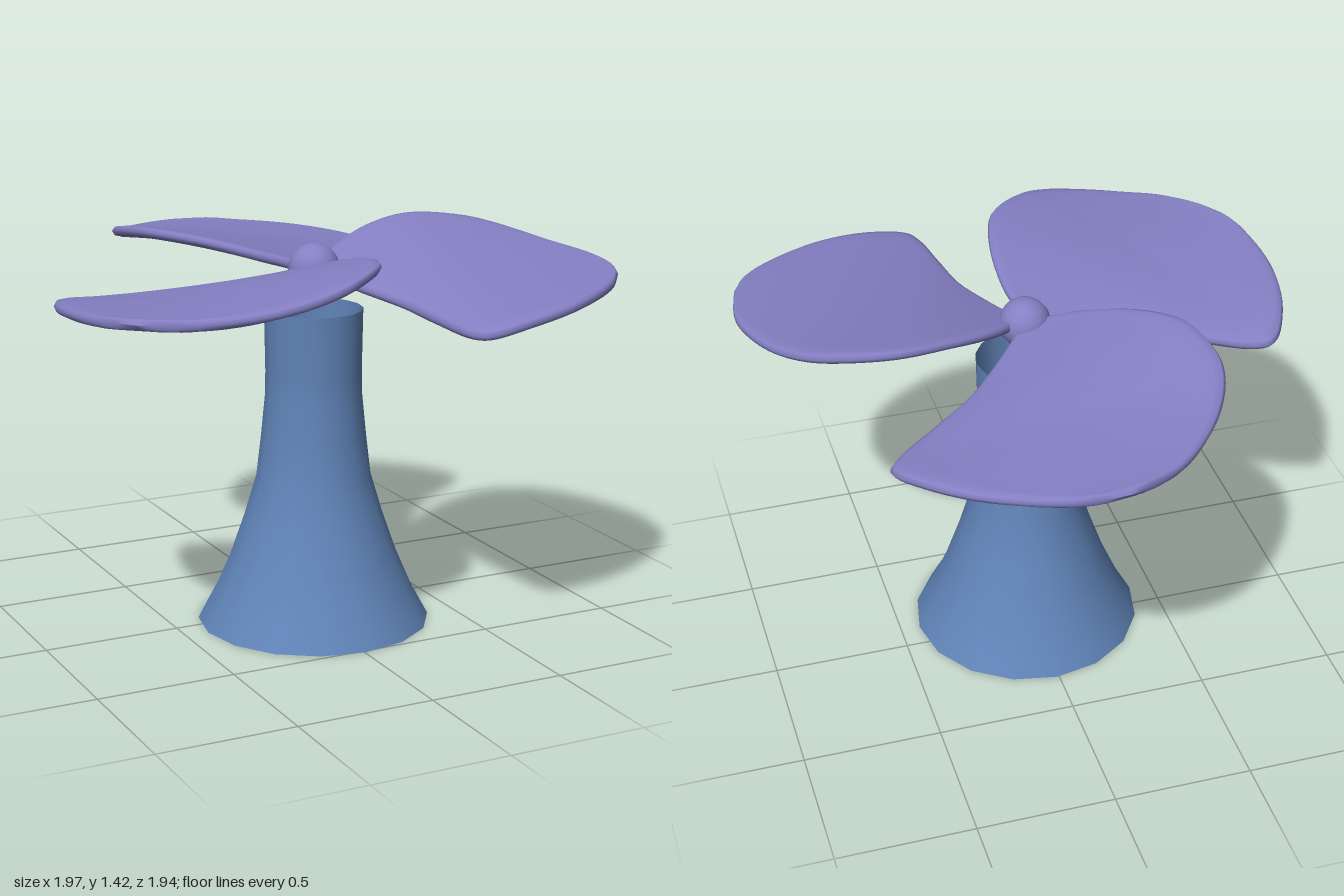
import * as THREE from 'three';

const HUB = new THREE.Vector3(0.007, 1.3, 0.092);
const bladeMat = new THREE.MeshStandardMaterial({ color: 0x8480c4 });
const towerMat = new THREE.MeshStandardMaterial({ color: 0x6084b8, side: THREE.DoubleSide });

const curve = (pts) => new THREE.CatmullRomCurve3(
  pts.map(([x, y, z]) => new THREE.Vector3(x, y, z).sub(HUB)), false, 'centripetal');

// Leading edge runs out to the pointed corner, then round the outer rim
const leading = curve([
  [0.03, 1.29, 0.07], [0.14, 1.262, -0.06], [0.294, 1.235, -0.225], [0.46, 1.215, -0.35],
  [0.61, 1.203, -0.465], [0.642, 1.208, -0.524], [0.567, 1.235, -0.663],
  [0.406, 1.26, -0.82], [0.166, 1.282, -0.945], [0.02, 1.297, -0.975],
]);
// Trailing edge sweeps wide and high, then meets the rim
const trailing = curve([
  [-0.03, 1.305, 0.075], [-0.17, 1.345, 0.025], [-0.34, 1.39, -0.085], [-0.476, 1.41, -0.235],
  [-0.52, 1.393, -0.43], [-0.505, 1.372, -0.54], [-0.45, 1.345, -0.66],
  [-0.36, 1.322, -0.78], [-0.225, 1.306, -0.9], [-0.04, 1.298, -0.972],
]);

// Thick plate lofted between the two edges, with rounded borders
function bladeGeometry() {
  const rows = 54, K = 16, ring = 2 * K, half = 0.02, R = 0.03;
  const round = (d) => Math.sqrt(1 - (1 - Math.min(d / R, 1)) ** 2);
  const pos = [], idx = [];
  for (let i = 0; i <= rows; i++) {
    const t = i / rows;
    const a = leading.getPoint(t), b = trailing.getPoint(t);
    const chord = a.distanceTo(b);
    const tip = round((1 - t) * 0.5);
    for (let j = 0; j < ring; j++) {
      const k = j <= K ? j : ring - j;
      const f = (1 - Math.cos(Math.PI * k / K)) / 2;
      const h = half * tip * round(Math.min(f, 1 - f) * chord);
      const p = a.clone().lerp(b, f);
      pos.push(p.x, p.y + (j <= K ? h : -h), p.z);
    }
  }
  for (let i = 0; i < rows; i++) {
    for (let j = 0; j < ring; j++) {
      const n = (j + 1) % ring;
      const a = i * ring + j, b = i * ring + n, c = a + ring, d = b + ring;
      idx.push(a, c, b, b, c, d);
    }
  }
  const geo = new THREE.BufferGeometry();
  geo.setAttribute('position', new THREE.Float32BufferAttribute(pos, 3));
  geo.setIndex(idx);
  geo.computeVertexNormals();
  return geo;
}

export function createModel() {
  const model = new THREE.Group();
  model.name = 'fan';

  // Flared hollow tower, open at both ends
  const profile = [
    [0.422, 0], [0.36, 0.115], [0.302, 0.25], [0.25, 0.4], [0.207, 0.545],
    [0.19, 0.69], [0.175, 0.84], [0.173, 0.93], [0.177, 1.157],
  ].map(([r, y]) => new THREE.Vector2(r, y));
  const tower = new THREE.Mesh(new THREE.LatheGeometry(profile, 16), towerMat);
  tower.name = 'tower';
  tower.position.set(HUB.x, 0, HUB.z);
  model.add(tower);

  // Rotor floating above the tower
  const rotor = new THREE.Group();
  rotor.name = 'rotor';
  rotor.position.copy(HUB);
  model.add(rotor);

  const hub = new THREE.Mesh(new THREE.SphereGeometry(0.092, 16, 12), bladeMat);
  hub.name = 'hub';
  rotor.add(hub);

  const geo = bladeGeometry();
  for (let i = 0; i < 3; i++) {
    const blade = new THREE.Mesh(geo, bladeMat);
    blade.name = `blade${i + 1}`;
    blade.rotation.y = i * Math.PI * 2 / 3;
    rotor.add(blade);
  }
  return model;
}
